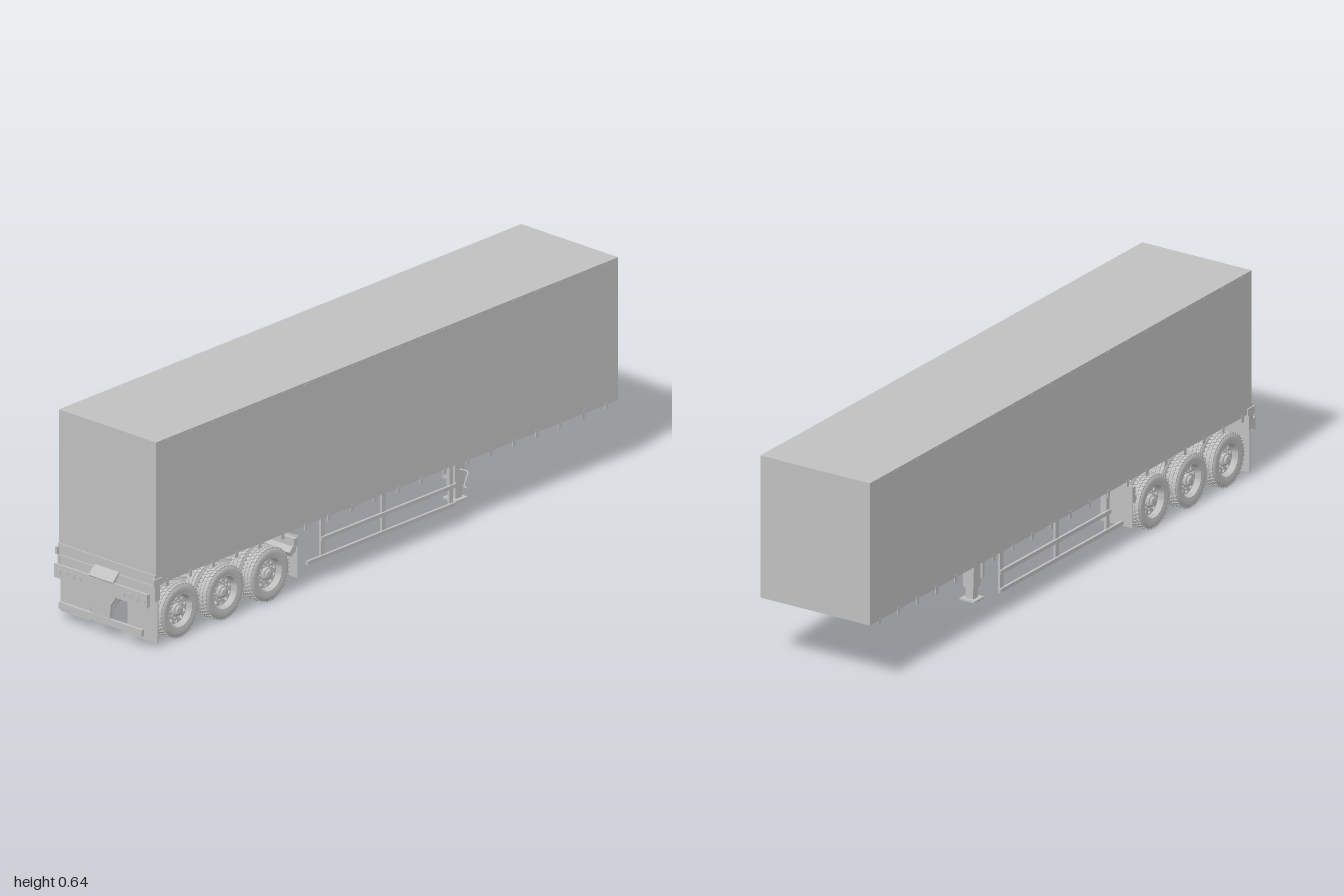
import * as THREE from 'three';
import { mergeGeometries, toCreasedNormals } from 'three/addons/utils/BufferGeometryUtils.js';

const grey = new THREE.MeshStandardMaterial({ color: 0xc0c0c0, side: THREE.DoubleSide });
grey.name = 'grey';

// Box given by its limits on each axis
function block(x0, x1, y0, y1, z0, z1) {
  return new THREE.BoxGeometry(x1 - x0, y1 - y0, z1 - z0)
    .translate((x0 + x1) / 2, (y0 + y1) / 2, (z0 + z1) / 2);
}
// Cylinder lying along x
function rod(r, x0, x1, y, z, sides = 20) {
  return new THREE.CylinderGeometry(r, r, x1 - x0, sides)
    .rotateZ(-Math.PI / 2).translate((x0 + x1) / 2, y, z);
}
// Side profile of [z, y] points, extruded between x0 and x1
function sidePlate(points, x0, x1) {
  const shape = new THREE.Shape(points.map(p => new THREE.Vector2(p[0], p[1])));
  return new THREE.ExtrudeGeometry(shape, { depth: x1 - x0, bevelEnabled: false })
    .rotateY(-Math.PI / 2).translate(x1, 0, 0);
}
function join(list) {
  return mergeGeometries(list.map(g => (g.index ? g.toNonIndexed() : g)));
}
function add(parent, name, list) {
  const mesh = new THREE.Mesh(Array.isArray(list) ? join(list) : list, grey);
  mesh.name = name;
  parent.add(mesh);
  return mesh;
}
function lathe(points, segments = 40) {
  const g = new THREE.LatheGeometry(points.map(p => new THREE.Vector2(p[0], p[1])), segments);
  return toCreasedNormals(g, 0.6);
}

// Tyre with tread blocks, axis along y, outer face at +y
function tyreGeometry() {
  const parts = [lathe([[0.053, -0.019], [0.066, -0.021], [0.076, -0.0195], [0.0805, -0.016],
    [0.0805, 0.016], [0.076, 0.0195], [0.066, 0.021], [0.053, 0.019]])];
  const count = 40;
  for (let i = 0; i < count; i++) {
    for (const row of [-1, 0, 1]) {
      const a = (i + (row ? 0 : 0.5)) / count * Math.PI * 2;
      parts.push(new THREE.BoxGeometry(0.004, 0.0105, 0.009)
        .translate(0.081, row * 0.013, 0).rotateY(a));
    }
  }
  return join(parts);
}
// Dished rim: barrel, pierced disc, wheel nuts and hub
function rimGeometry() {
  const parts = [lathe([[0.048, -0.019], [0.054, -0.019], [0.054, -0.017], [0.047, -0.012],
    [0.047, 0.012], [0.054, 0.017], [0.054, 0.019], [0.05, 0.019], [0.045, 0.011], [0.044, -0.004]])];
  const disc = new THREE.Shape().absarc(0, 0, 0.0465, 0, Math.PI * 2);
  for (let i = 0; i < 10; i++) {
    const a = i / 10 * Math.PI * 2;
    disc.holes.push(new THREE.Path()
      .absarc(Math.cos(a) * 0.036, Math.sin(a) * 0.036, 0.0055, 0, Math.PI * 2, true));
    parts.push(new THREE.CylinderGeometry(0.0024, 0.0024, 0.006, 6)
      .translate(Math.cos(a + 0.3) * 0.0255, 0.004, Math.sin(a + 0.3) * 0.0255));
  }
  parts.push(new THREE.ExtrudeGeometry(disc, { depth: 0.004, bevelEnabled: false, curveSegments: 10 })
    .rotateX(-Math.PI / 2).translate(0, -0.003, 0));
  parts.push(lathe([[0.02, 0], [0.019, 0.01], [0.014, 0.012], [0.013, 0.018], [0, 0.019]], 24));
  return join(parts);
}

export function createModel() {
  const model = new THREE.Group();
  model.name = 'boxTrailer';

  // Cargo body
  add(model, 'cargoBox', block(-0.19, 0.19, 0.196, 0.638, -1, 0.96));

  // Curtain buckles along the lower edge, studs along the upper edge
  const buckles = [], studs = [];
  for (const s of [-1, 1]) {
    for (let i = 0; i < 20; i++) {
      const z = -0.95 + i * 0.098;
      buckles.push(new THREE.BoxGeometry(0.003, 0.022, 0.012).translate(s * 0.1895, 0.192, z));
      studs.push(new THREE.BoxGeometry(0.002, 0.004, 0.012).translate(s * 0.19, 0.632, z));
    }
  }
  add(model, 'curtainBuckles', buckles);
  add(model, 'curtainStuds', studs);

  // Chassis: two tapered I-beams, cross members, coupling plate and pin
  const lower = [[0.95, 0.138], [-0.4, 0.138], [-0.6, 0.181], [-0.96, 0.181], [-0.985, 0.194]];
  const chassis = [];
  for (const s of [-1, 1]) {
    const x = s * 0.075;
    chassis.push(sidePlate([[0.95, 0.197], ...lower, [-0.985, 0.197]], x - 0.003, x + 0.003));
    const flange = [...lower, ...lower.map(p => [p[0], p[1] + 0.004]).reverse()];
    chassis.push(sidePlate(flange, x - 0.018, x + 0.018));
    chassis.push(block(x - 0.018, x + 0.018, 0.19, 0.197, -0.6, 0.95));
  }
  add(model, 'chassisBeams', chassis);
  const members = [];
  for (let z = -0.3; z < 0.95; z += 0.155) members.push(block(-0.075, 0.075, 0.165, 0.19, z, z + 0.01));
  add(model, 'crossMembers', members);
  add(model, 'couplingPlate', block(-0.075, 0.075, 0.182, 0.188, -0.97, -0.68));
  add(model, 'couplingPin', [
    new THREE.CylinderGeometry(0.006, 0.006, 0.026, 16).translate(0, 0.172, -0.85),
    new THREE.CylinderGeometry(0.009, 0.009, 0.005, 16).translate(0, 0.161, -0.85)]);

  // Axles with suspension and twin wheels
  const tyre = tyreGeometry(), rim = rimGeometry();
  for (const z of [0.85, 0.66, 0.47]) {
    const axle = new THREE.Group();
    axle.name = 'axle';
    axle.position.set(0, 0.083, z);
    model.add(axle);
    add(axle, 'axleTube', rod(0.013, -0.17, 0.17, 0, 0));
    for (const s of [-1, 1]) {
      const side = s > 0 ? 'left' : 'right';
      for (const x of [0.115, 0.165]) {
        const wheel = new THREE.Group();
        wheel.name = side + 'Wheel';
        wheel.position.x = s * x;
        wheel.rotation.z = -s * Math.PI / 2;
        add(wheel, 'tyre', tyre);
        add(wheel, 'rim', rim);
        axle.add(wheel);
      }
      const x = s * 0.07;
      add(axle, side + 'BrakeDrum', rod(0.038, s * 0.102 - 0.017, s * 0.102 + 0.017, 0, 0, 28));
      add(axle, side + 'TrailingArm', [
        sidePlate([[0.06, 0.012], [-0.01, 0.02], [-0.075, 0.025], [-0.075, 0.008], [0, -0.02], [0.06, 0]],
          x - 0.009, x + 0.009),
        block(x - 0.012, x + 0.012, 0, 0.06, -0.085, -0.065)]);
      add(axle, side + 'AirSpring',
        lathe([[0, 0.01], [0.016, 0.01], [0.021, 0.018], [0.018, 0.03], [0.021, 0.042], [0.015, 0.055]], 20)
          .translate(x, 0, 0.05));
      add(axle, side + 'BrakeChamber', new THREE.CylinderGeometry(0.014, 0.014, 0.035, 18)
        .rotateX(Math.PI / 2).translate(s * 0.048, 0.012, -0.035));
    }
  }

  // Mud flaps behind and ahead of the wheels
  for (const s of [-1, 1]) {
    const x = s * 0.131;
    add(model, 'rearMudFlap', block(x - 0.059, x + 0.059, 0.012, 0.197, 0.95, 0.954));
    add(model, 'frontMudFlap', [block(x - 0.055, x + 0.055, 0.04, 0.17, 0.353, 0.356),
      block(x - 0.055, x + 0.055, 0.14, 0.165, 0.356, 0.37),
      sidePlate([[0.356, 0.125], [0.375, 0.11], [0.385, 0.125], [0.37, 0.14], [0.356, 0.14]],
        x - 0.05, x + 0.05)]);
  }

  // Rear sill with corner buffers
  add(model, 'rearSill', [block(-0.19, 0.19, 0.163, 0.225, 0.95, 0.964),
    block(-0.186, 0.186, 0.188, 0.193, 0.964, 0.968)]);
  for (const s of [-1, 1]) {
    add(model, 'cornerBuffer', [
      block(s * 0.19 - 0.004, s * 0.19 + 0.004, 0.193, 0.215, 0.935, 0.972),
      block(s * 0.188 - 0.003, s * 0.188 + 0.003, 0.145, 0.195, 0.945, 0.966)]);
  }

  // Rear bumper: light bar with tapered centre panel, guard bar, sloped step
  const half = [[0.183, 0.172], [0.183, 0.13], [0.06, 0.13], [0.04, 0.1], [0.036, 0.05]];
  const panel = new THREE.Shape([...half, ...half.map(p => [-p[0], p[1]]).reverse()]
    .map(p => new THREE.Vector2(p[0], p[1])));
  const bumper = new THREE.ExtrudeGeometry(panel, { depth: 0.006, bevelEnabled: false });
  add(model, 'bumperPanel', bumper.translate(0, 0, 0.984));
  add(model, 'lightBar', block(-0.183, 0.183, 0.132, 0.17, 0.978, 0.985));
  const lamps = [];
  for (const s of [-1, 1]) {
    for (let i = 0; i < 4; i++) {
      lamps.push(new THREE.CylinderGeometry(0.011, 0.011, 0.003, 20)
        .rotateX(Math.PI / 2).translate(s * (0.085 + i * 0.027), 0.151, 0.9905));
    }
  }
  add(model, 'rearLamps', lamps);
  add(model, 'guardBar', block(-0.163, 0.163, 0.038, 0.058, 0.982, 0.992));
  add(model, 'slopedStep',
    sidePlate([[0.96, 0.2], [0.966, 0.2], [0.992, 0.174], [0.988, 0.168], [0.96, 0.194]], -0.045, 0.05));
  for (const s of [-1, 1]) {
    add(model, 'bumperBracket', sidePlate([[0.93, 0.17], [0.985, 0.17], [0.985, 0.06], [0.972, 0.06], [0.94, 0.14]],
      s * 0.034 - 0.003, s * 0.034 + 0.003));
  }

  // Side guards: two rails on three posts each side
  for (const s of [-1, 1]) {
    const x = s * 0.18;
    const guard = [block(x - 0.004, x + 0.004, 0.065, 0.077, -0.32, 0.31),
      block(x - 0.004, x + 0.004, 0.122, 0.134, -0.32, 0.25)];
    for (const z of [0.24, -0.02, -0.305]) {
      guard.push(block(x - s * 0.006 - 0.004, x - s * 0.006 + 0.004, 0.068, 0.197, z - 0.008, z + 0.008));
    }
    add(model, s > 0 ? 'leftSideGuard' : 'rightSideGuard', guard);
  }

  // Landing gear with feet, brace and crank
  for (const s of [-1, 1]) {
    const x = s * 0.125;
    add(model, s > 0 ? 'leftLandingLeg' : 'rightLandingLeg', [
      block(x - 0.018, x + 0.018, 0.095, 0.197, -0.398, -0.362),
      block(x - 0.024, x + 0.024, 0.12, 0.197, -0.362, -0.352),
      block(x - 0.013, x + 0.013, 0.06, 0.1, -0.393, -0.367),
      block(x - 0.026, x + 0.026, 0.054, 0.06, -0.405, -0.355),
      sidePlate([[-0.405, 0.197], [-0.37, 0.197], [-0.37, 0.12]], s * 0.1 - 0.003, s * 0.1 + 0.003)]);
  }
  add(model, 'landingBrace', [rod(0.006, -0.12, 0.12, 0.165, -0.38),
    block(-0.12, 0.12, 0.132, 0.144, -0.372, -0.366)]);
  const crank = new THREE.CatmullRomCurve3([[0.14, 0.15, -0.38], [0.172, 0.15, -0.38],
    [0.176, 0.147, -0.378], [0.178, 0.115, -0.36], [0.181, 0.112, -0.358], [0.188, 0.111, -0.358]]
    .map(p => new THREE.Vector3(...p)), false, 'centripetal');
  add(model, 'crankHandle', new THREE.TubeGeometry(crank, 30, 0.0025, 8));

  return model;
}
